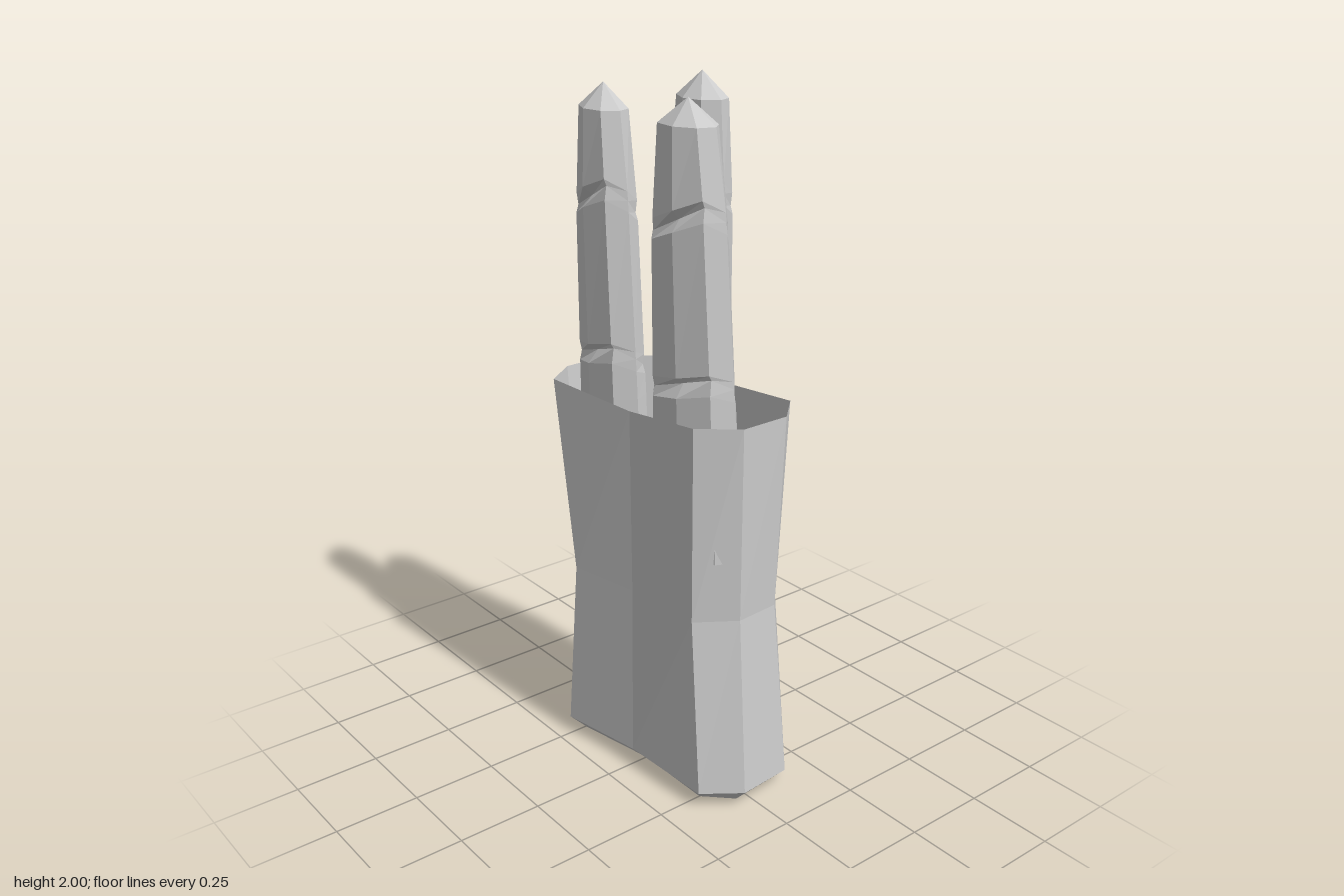
import * as THREE from 'three';

const material = new THREE.MeshStandardMaterial({ color: 0xcccccc, flatShading: true, side: THREE.DoubleSide });

// Skins a stack of rings (bottom to top, counter-clockwise from above); caps are fans to a point.
function loft(rings, bottom, top) {
  const n = rings[0].length;
  const pos = [];
  const tri = (...pts) => pts.forEach((p) => pos.push(...p));
  for (let k = 0; k < rings.length - 1; k++) {
    for (let i = 0; i < n; i++) {
      const j = (i + 1) % n;
      const [a, b, c, d] = [rings[k][i], rings[k][j], rings[k + 1][j], rings[k + 1][i]];
      tri(a, b, c);
      tri(a, c, d);
    }
  }
  const last = rings[rings.length - 1];
  for (let i = 0; i < n; i++) {
    const j = (i + 1) % n;
    if (bottom) tri(rings[0][j], rings[0][i], bottom);
    if (top) tri(last[i], last[j], top);
  }
  const geometry = new THREE.BufferGeometry();
  geometry.setAttribute('position', new THREE.Float32BufferAttribute(pos, 3));
  geometry.computeVertexNormals();
  return geometry;
}

// Open pouch: chamfered base, wide hem, narrow waist and a rim that dips at the middle
function createPouch() {
  const base = [[-0.325, -0.03], [-0.31, 0.1], [-0.245, 0.155], [0, 0.11], [0.25, 0.11],
    [0.325, 0.035], [0.31, -0.105], [0.25, -0.155], [-0.02, -0.15], [-0.27, -0.11]];
  const hem = [[-0.375, -0.045], [-0.36, 0.115], [-0.26, 0.205], [0, 0.16], [0.295, 0.15],
    [0.373, 0.045], [0.36, -0.12], [0.26, -0.205], [-0.03, -0.2], [-0.3, -0.15]];
  const waist = [[-0.325, -0.03], [-0.32, 0.1], [-0.22, 0.195], [0, 0.155], [0.248, 0.14],
    [0.322, 0.03], [0.312, -0.105], [0.215, -0.193], [-0.02, -0.19], [-0.25, -0.145]];
  const rim = [[-0.375, -0.045], [-0.37, 0.105], [-0.3, 0.2], [0, 0.158], [0.25, 0.14],
    [0.335, 0.04], [0.333, -0.11], [0.25, -0.2], [-0.01, -0.197], [-0.29, -0.15]];
  const ring = (pts, y, dip = 0) => pts.map(([x, z], i) => [x, i === 3 || i === 8 ? y - dip : y, z]);
  const rings = [ring(base, 0), ring(hem, 0.05), ring(waist, 0.575), ring(rim, 1.14, 0.02)];
  return new THREE.Mesh(loft(rings, [0, 0, 0]), material);
}

// Bar: eight-sided, tapering on one edge, with slanted notches on front and back
function createBarGeometry() {
  const half = [[-1, 0], [-0.75, 0.62], [0.02, 1], [0.72, 0.72]];
  const section = [...half, ...half.map(([s, w]) => [-s, -w])];
  // y, left edge, right edge, half depth, notch depth, slant
  const levels = [
    [0.75, -0.15, 0.15, 0.078, 0, 0],
    [1.12, -0.15, 0.128, 0.077, 0, 0],
    [1.2, -0.15, 0.123, 0.077, 0, 0.03],
    [1.235, -0.149, 0.12, 0.076, 0.4, 0.04],
    [1.255, -0.15, 0.118, 0.076, 0, 0.03],
    [1.635, -0.149, 0.09, 0.074, 0, 0.045],
    [1.665, -0.147, 0.087, 0.073, 0.4, 0.055],
    [1.69, -0.145, 0.085, 0.073, 0, 0.045],
    [1.895, -0.128, 0.052, 0.062, 0, 0],
  ];
  const rings = levels.map(([y, left, right, depth, notch, slant]) => section.map(([s, w], i) => {
    const mid = (left + right) / 2, halfWidth = (right - left) / 2;
    const pinch = i % 4 === 2 ? 1 - notch : i % 4 === 0 ? 1 : 1 - notch * 0.3;
    const rise = i % 4 === 0 ? 0 : slant * s * Math.sign(w);
    return [mid + halfWidth * s, y + rise, depth * w * pinch];
  }));
  return loft(rings, [0, 0.75, 0], [-0.037, 1.96, 0]);
}

export function createModel() {
  const group = new THREE.Group();
  const pouch = createPouch();
  pouch.name = 'pouch';
  group.add(pouch);

  const barGeometry = createBarGeometry();
  const bars = [
    ['rightBar', -0.185, 0.07, -0.12, 1],
    ['leftBar', 0.172, 0.06, 0.2, 1],
    ['backBar', -0.035, -0.093, Math.PI - 0.13, 2 / 1.96],
  ];
  for (const [name, x, z, turn, stretch] of bars) {
    const bar = new THREE.Mesh(barGeometry, material);
    bar.name = name;
    bar.position.set(x, 0, z);
    bar.rotation.y = turn;
    bar.scale.y = stretch;
    group.add(bar);
  }
  return group;
}
